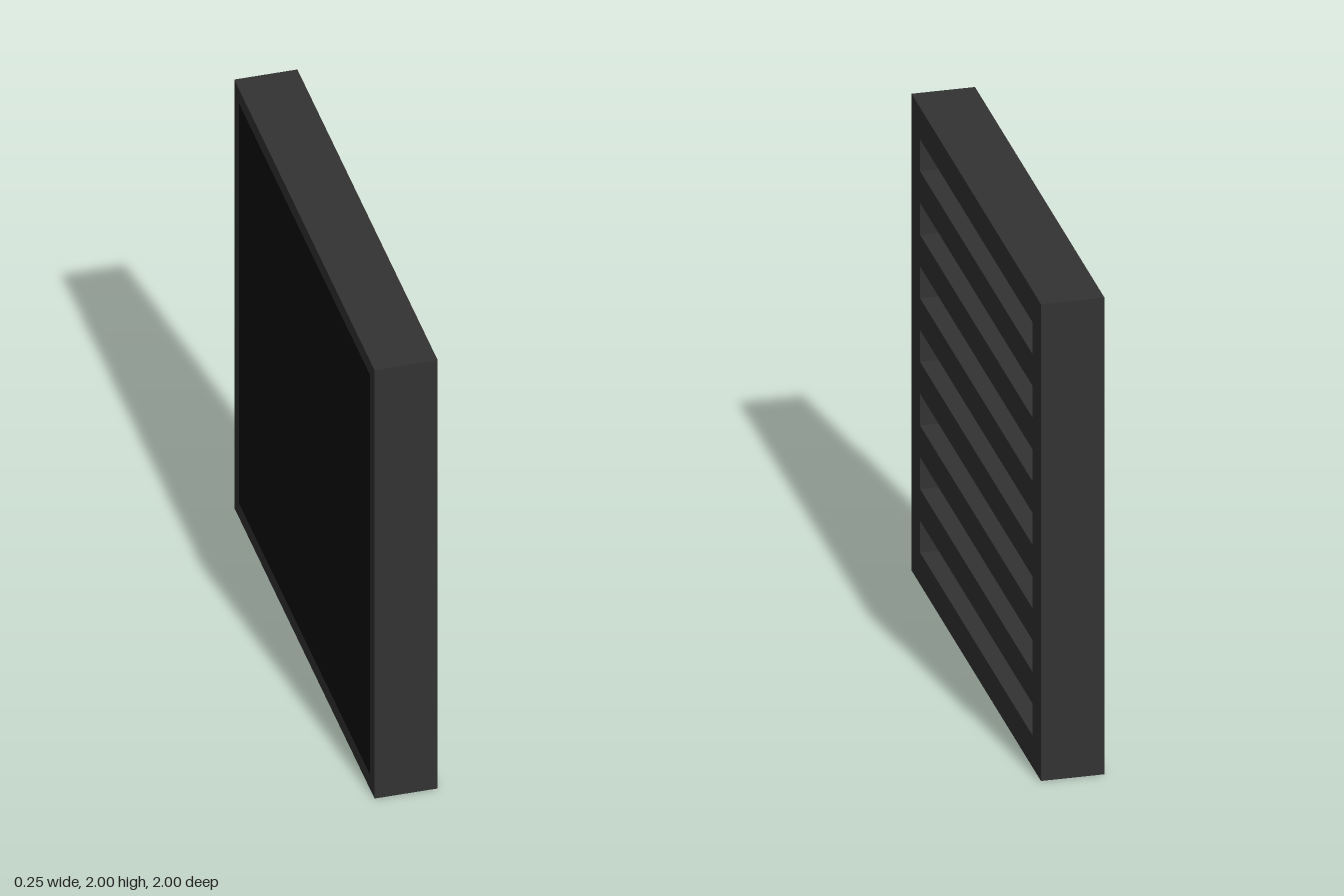
import * as THREE from 'three';

const UNIT = 2 / 15;   // slot height, bar height and border width
const DEPTH = 0.125;   // depth of the grille and of the backing
const SLOTS = 7;

// Adds the four corners of a rectangle to a shape or hole path
function rectangle(path, halfWidth, bottom, top) {
  path.moveTo(-halfWidth, bottom);
  path.lineTo(halfWidth, bottom);
  path.lineTo(halfWidth, top);
  path.lineTo(-halfWidth, top);
  path.closePath();
  return path;
}

// Square plate with rectangular holes, turned so its thickness runs along x
function plate(name, holes, material) {
  const shape = rectangle(new THREE.Shape(), 1, 0, 2);
  shape.holes.push(...holes);
  const geometry = new THREE.ExtrudeGeometry(shape, { depth: DEPTH, bevelEnabled: false });
  geometry.rotateY(Math.PI / 2);
  const mesh = new THREE.Mesh(geometry, material);
  mesh.name = name;
  return mesh;
}

export function createModel() {
  const group = new THREE.Group();
  group.name = 'ventGrille';
  const frameMaterial = new THREE.MeshStandardMaterial({ color: 0x333333 });
  const backMaterial = new THREE.MeshStandardMaterial({ color: 0x0d0d0d });

  // Slotted face on the +x side
  const slots = [];
  for (let i = 0; i < SLOTS; i++) {
    const bottom = UNIT * (1 + 2 * i);
    slots.push(rectangle(new THREE.Path(), 1 - UNIT, bottom, bottom + UNIT));
  }
  group.add(plate('slottedFace', slots, frameMaterial));

  // Thin rim around the backing
  const rim = UNIT / 2;
  const opening = rectangle(new THREE.Path(), 1 - rim, rim, 2 - rim);
  const backRim = plate('backRim', [opening], frameMaterial);
  backRim.position.x = -DEPTH;
  group.add(backRim);

  // Dark backing, flush with the rim and seen through the slots
  const backing = new THREE.Mesh(
    new THREE.BoxGeometry(DEPTH, 2 - 2 * rim, 2 - 2 * rim), backMaterial);
  backing.name = 'backPanel';
  backing.position.set(-DEPTH / 2, 1, 0);
  group.add(backing);

  return group;
}
